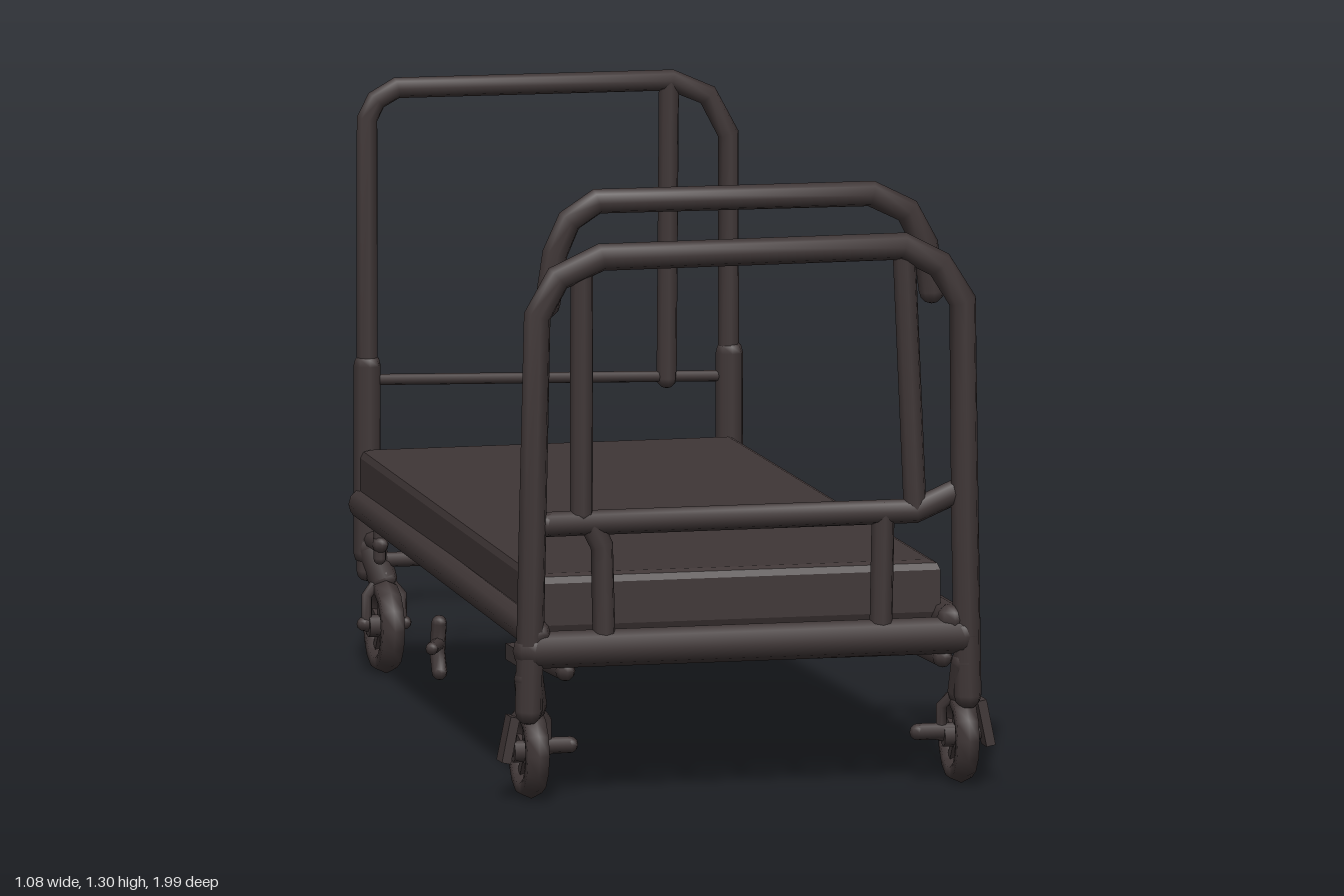
import * as THREE from 'three';
import { mergeGeometries } from 'three/addons/utils/BufferGeometryUtils.js';

const darkMetal = new THREE.MeshStandardMaterial({ color: 0x3f3636 });
darkMetal.name = 'dark metal';

// Curve that visits each given point once, so tubes keep their chamfered corners
class Polyline extends THREE.Curve {
  constructor(points) {
    super();
    this.points = points.map((p) => new THREE.Vector3(...p));
  }
  getPoint(t, target = new THREE.Vector3()) {
    const n = this.points.length - 1;
    const i = Math.min(Math.floor(t * n), n - 1);
    return target.lerpVectors(this.points[i], this.points[i + 1], t * n - i);
  }
  getPointAt(u, target) { return this.getPoint(u, target); }
  getTangentAt(u, target = new THREE.Vector3()) {
    const p = this.points, n = p.length - 1, i = Math.round(u * n);
    if (i > 0) target.copy(p[i]).sub(p[i - 1]).normalize(); else target.set(0, 0, 0);
    if (i < n) target.add(p[i + 1].clone().sub(p[i]).normalize());
    return target.normalize();
  }
}

export function createModel() {
  const model = new THREE.Group();
  model.name = 'wheeledBed';

  const add = (name, geometry, parent = model) => {
    const mesh = new THREE.Mesh(geometry, darkMetal);
    mesh.name = name;
    parent.add(mesh);
    return mesh;
  };

  // Tube with rounded ends along a list of points
  const pipe = (name, points, radius, parent = model) => {
    const parts = [new THREE.TubeGeometry(new Polyline(points), points.length - 1, radius, 8)];
    for (const p of [points[0], points[points.length - 1]]) {
      parts.push(new THREE.SphereGeometry(radius, 8, 6).translate(...p));
    }
    return add(name, mergeGeometries(parts), parent);
  };

  // Mattress deck, narrower towards the back
  const plan = new THREE.Shape([
    [-0.44, -0.89], [0.405, -0.89], [0.395, 0.88], [-0.385, 0.88],
  ].map(([x, y]) => new THREE.Vector2(x, y)));
  const deck = new THREE.ExtrudeGeometry(plan, {
    depth: 0.09, bevelSize: 0.02, bevelThickness: 0.02, bevelSegments: 2,
  });
  deck.rotateX(-Math.PI / 2).translate(0, 0.375, 0);
  add('mattress', deck);

  // Bed frame
  pipe('leftSideRail', [[0.44, 0.365, 0.95], [0.405, 0.365, -0.91]], 0.033);
  pipe('rightSideRail', [[-0.47, 0.365, 0.95], [-0.395, 0.365, -0.91]], 0.033);
  pipe('frontCrossbar', [[-0.48, 0.33, 0.95], [0.46, 0.33, 0.95]], 0.04);
  pipe('backCrossbar', [[-0.39, 0.365, -0.91], [0.4, 0.365, -0.91]], 0.032);
  pipe('lowBackBar', [[-0.37, 0.245, -0.9], [0.41, 0.24, -0.9]], 0.016);

  // Front hoop
  const fz = 0.965;
  pipe('frontHoop', [
    [-0.485, 0.2, 0.95], [-0.48, 0.6, fz], [-0.47, 1.05, fz], [-0.425, 1.13, fz], [-0.33, 1.172, fz],
    [0.33, 1.172, fz], [0.41, 1.13, fz], [0.46, 1.05, fz], [0.465, 0.6, fz], [0.475, 0.2, 0.95],
  ], 0.03);
  pipe('frontMiddleRail', [[-0.45, 0.6, 0.955], [-0.35, 0.6, 0.95], [0.36, 0.6, 0.95], [0.45, 0.64, 0.955]], 0.027);
  pipe('frontRightUpright', [[-0.37, 1.15, 0.955], [-0.37, 0.62, 0.95]], 0.025);
  pipe('frontLeftUpright', [[0.335, 1.15, 0.955], [0.36, 0.6, 0.95]], 0.025);
  pipe('frontRightStrut', [[-0.35, 0.6, 0.95], [-0.325, 0.55, 0.95], [-0.32, 0.34, 0.95]], 0.025);
  pipe('frontLeftStrut', [[0.29, 0.6, 0.95], [0.285, 0.34, 0.95]], 0.025);

  // Loose grab handle behind the front hoop
  pipe('grabHandle', [
    [-0.425, 1.06, 0.872], [-0.41, 1.17, 0.878], [-0.38, 1.24, 0.882], [-0.32, 1.28, 0.885],
    [0.28, 1.275, 0.885], [0.36, 1.235, 0.882], [0.4, 1.16, 0.878], [0.415, 1.06, 0.872],
  ], 0.028);

  // Back hoop
  const bz = -0.92;
  pipe('backHoop', [
    [-0.385, 0.22, bz], [-0.385, 0.65, bz], [-0.385, 1.19, bz], [-0.365, 1.23, bz], [-0.32, 1.255, bz],
    [0.28, 1.25, bz], [0.36, 1.215, bz], [0.405, 1.13, bz], [0.405, 0.65, bz], [0.41, 0.22, bz],
  ], 0.023);
  pipe('backUpright', [[0.275, 1.245, bz], [0.27, 0.61, bz]], 0.022);
  pipe('backMiddleRail', [[-0.385, 0.63, bz], [0.41, 0.61, bz]], 0.012);
  for (const x of [-0.385, 0.407]) {
    pipe('backPostSleeve', [[x, 0.66, bz], [x, 0.26, bz]], 0.03);
  }

  // Spoked wheel standing in the YZ plane
  const wheelParts = [
    new THREE.TorusGeometry(0.08, 0.022, 6, 14).scale(1, 1, 1.25),
    new THREE.CylinderGeometry(0.024, 0.024, 0.07, 8).rotateX(Math.PI / 2),
  ];
  for (let i = 0; i < 5; i++) {
    const spoke = new THREE.BoxGeometry(0.02, 0.075, 0.025).translate(0, 0.043, 0);
    wheelParts.push(spoke.rotateZ((i * Math.PI * 2) / 5));
  }
  const wheelGeometry = mergeGeometries(wheelParts).rotateY(Math.PI / 2);

  // Casters: wheel position, post position and outward side
  const casters = [
    ['frontRightCaster', -0.47, 0.89, -0.485, 0.95, -1],
    ['frontLeftCaster', 0.47, 0.89, 0.47, 0.95, 1],
    ['backRightCaster', -0.355, -0.89, -0.38, -0.915, -1],
    ['backLeftCaster', 0.465, -0.89, 0.42, -0.915, 1],
  ];
  for (const [name, x, z, postX, postZ, side] of casters) {
    const caster = new THREE.Group();
    caster.name = name;
    model.add(caster);
    add('wheel', wheelGeometry, caster).position.set(x, 0.105, z);
    pipe('stem', [[postX, 0.27, postZ], [x, 0.205, (z + postZ) / 2]], 0.032, caster);
    for (const s of [-1, 1]) {
      pipe('forkArm', [[x, 0.215, (z + postZ) / 2], [x + s * 0.038, 0.17, z], [x + s * 0.038, 0.105, z]], 0.012, caster);
    }
    pipe('axle', [[x - 0.045, 0.11, z], [x + 0.045, 0.11, z]], 0.015, caster);
    if (z > 0) {
      // Outer brake flap and inner axle stub on the front wheels
      const flap = add('brakeFlap', new THREE.BoxGeometry(0.02, 0.1, 0.05), caster);
      flap.position.set(x + side * 0.05, 0.135, z + 0.02);
      flap.rotation.z = side * 0.2;
      pipe('axleStub', [[x, 0.115, z], [x - side * 0.09, 0.115, z]], 0.018, caster);
    }
  }

  // Foot pedals under both front corners
  for (const [name, x] of [['leftPedal', 0.425], ['rightPedal', -0.4]]) {
    const pedal = new THREE.Group();
    pedal.name = name;
    model.add(pedal);
    pipe('pedalArm', [[x, 0.28, 0.93], [x, 0.27, 0.6]], 0.022, pedal);
    add('pedalPlate', new THREE.BoxGeometry(0.07, 0.035, 0.13), pedal).position.set(x, 0.265, 0.6);
    pipe('pedalHanger', [[x, 0.27, 0.575], [x, 0.36, 0.575]], 0.014, pedal);
  }

  // Short brackets under the back of the frame
  for (const x of [-0.38, 0.4]) {
    pipe('backBracket', [[x, 0.29, -0.91], [x, 0.29, -0.82]], 0.018);
    pipe('bracketHanger', [[x, 0.26, -0.825], [x, 0.36, -0.825]], 0.014);
  }

  // Loose brake lever on the floor side
  pipe('looseLever', [[-0.31, 0.05, -0.575], [-0.31, 0.09, -0.595], [-0.31, 0.155, -0.58]], 0.017);
  pipe('looseLeverPin', [[-0.34, 0.11, -0.52], [-0.31, 0.11, -0.585]], 0.014);

  return model;
}
